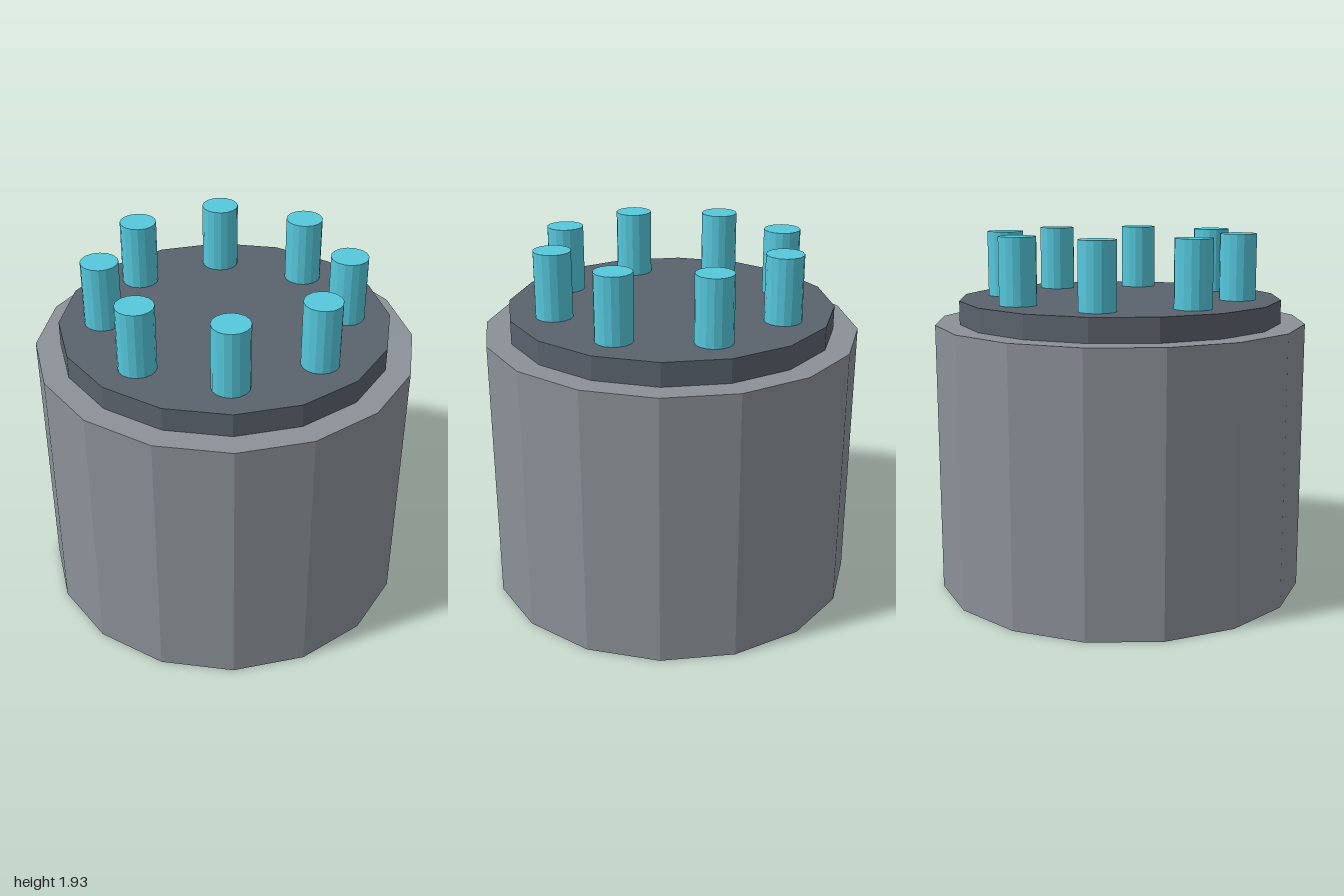
import * as THREE from 'three';

const BODY_TOP = 1.455, CAP_TOP = 1.58, PIN_TOP = 1.93;

// Upright faceted cylinder spanning two heights
function drum(name, radius, bottom, top, color) {
  const geometry = new THREE.CylinderGeometry(radius, radius, top - bottom, 16);
  const material = new THREE.MeshStandardMaterial({ color, flatShading: true });
  const mesh = new THREE.Mesh(geometry, material);
  mesh.name = name;
  mesh.position.y = (bottom + top) / 2;
  return mesh;
}

export function createModel() {
  const model = new THREE.Group();
  model.name = 'pinnedDrum';

  // Main body and the darker stepped cap
  model.add(drum('body', 1, 0, BODY_TOP, 0x8b9198));
  model.add(drum('cap', 0.87, BODY_TOP, CAP_TOP, 0x5a626c));

  // Ring of eight pins standing on the cap
  const pins = new THREE.Group();
  pins.name = 'pins';
  for (let i = 0; i < 8; i++) {
    const angle = (i / 8) * Math.PI * 2;
    const pin = drum('pin', 0.098, CAP_TOP, PIN_TOP, 0x55c8dc);
    pin.position.x = Math.cos(angle) * 0.637;
    pin.position.z = Math.sin(angle) * 0.637;
    pins.add(pin);
  }
  model.add(pins);

  return model;
}
